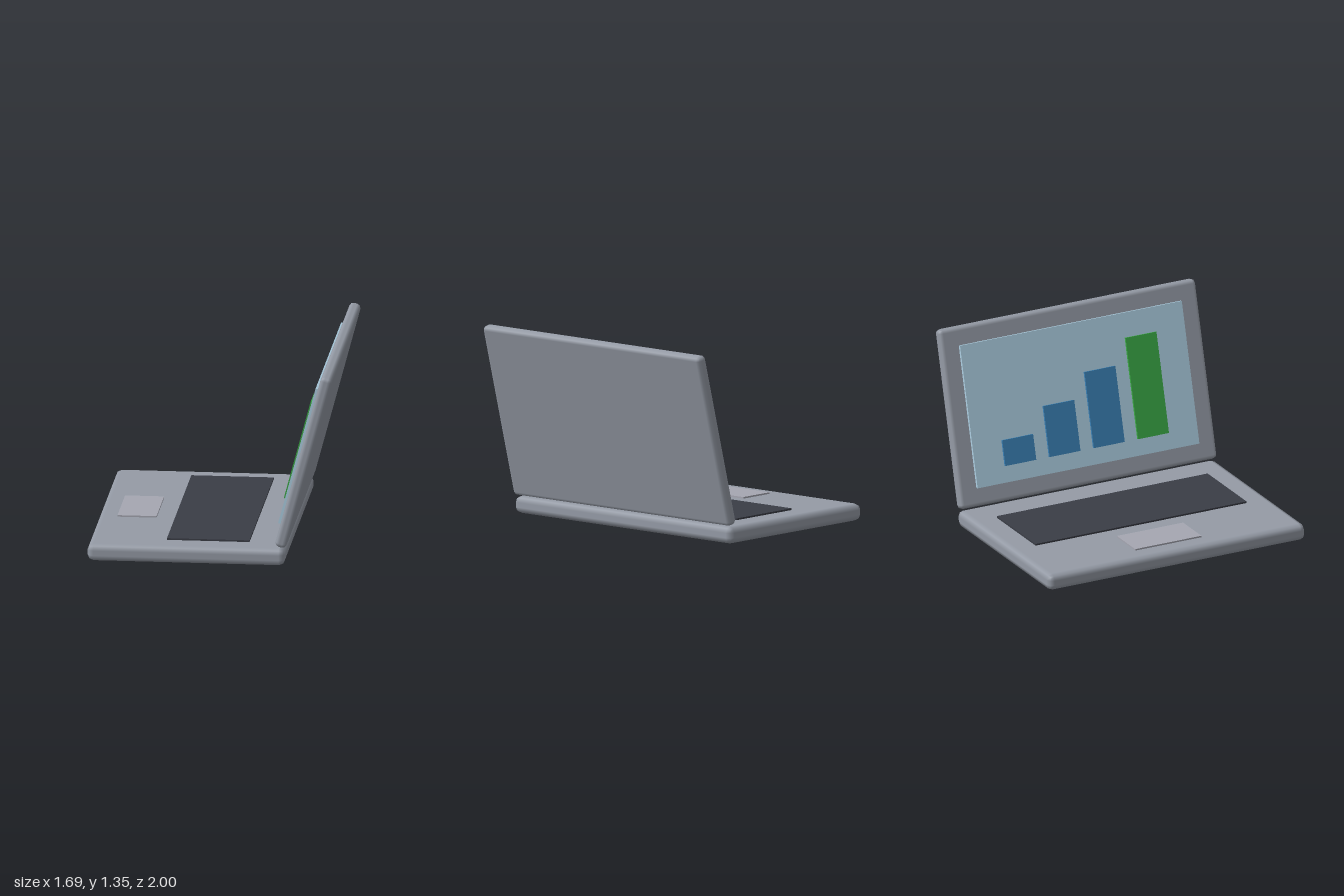
import * as THREE from 'three';
import { RoundedBoxGeometry } from 'three/addons/geometries/RoundedBoxGeometry.js';

const material = (color) => new THREE.MeshStandardMaterial({ color });

function add(parent, name, geometry, mat, x, y, z) {
  const mesh = new THREE.Mesh(geometry, mat);
  mesh.name = name;
  mesh.position.set(x, y, z);
  parent.add(mesh);
  return mesh;
}

export function createModel() {
  const model = new THREE.Group();
  model.name = 'laptop';

  const shell = material(0x959ba6);
  const blue = material(0x3a80b4);
  const green = material(0x3aa845);

  // Lower body with bevelled edges
  add(model, 'base', new RoundedBoxGeometry(1.365, 0.12, 2, 1, 0.043), shell, -0.162, 0.06, 0);

  // Keyboard and touchpad, set slightly into the base
  add(model, 'keyboard', new THREE.BoxGeometry(0.57, 0.022, 1.64), material(0x3a3d46), -0.025, 0.121, -0.003);
  add(model, 'touchpad', new THREE.BoxGeometry(0.27, 0.02, 0.515), material(0xa6a7b2), -0.575, 0.121, -0.003);

  // Lid leaning back 15 degrees; its inner side faces local -x
  const lid = new THREE.Group();
  lid.name = 'lid';
  lid.position.set(0.649, 0.74, 0);
  lid.rotation.z = -THREE.MathUtils.degToRad(15);
  model.add(lid);

  add(lid, 'lidShell', new RoundedBoxGeometry(0.08, 1.26, 2, 1, 0.03), shell, 0, 0, 0);
  add(lid, 'screen', new THREE.BoxGeometry(0.03, 1.0, 1.725), material(0xadcfe2), -0.045, 0, -0.002);

  // Bar chart rising across the screen
  [0.18, 0.357, 0.533, 0.71].forEach((height, i) => {
    const bar = new THREE.BoxGeometry(0.02, height, 0.24);
    add(lid, `chartBar${i + 1}`, bar, i === 3 ? green : blue, -0.065, -0.383 + height / 2, -0.52 + i * 0.344);
  });

  return model;
}
